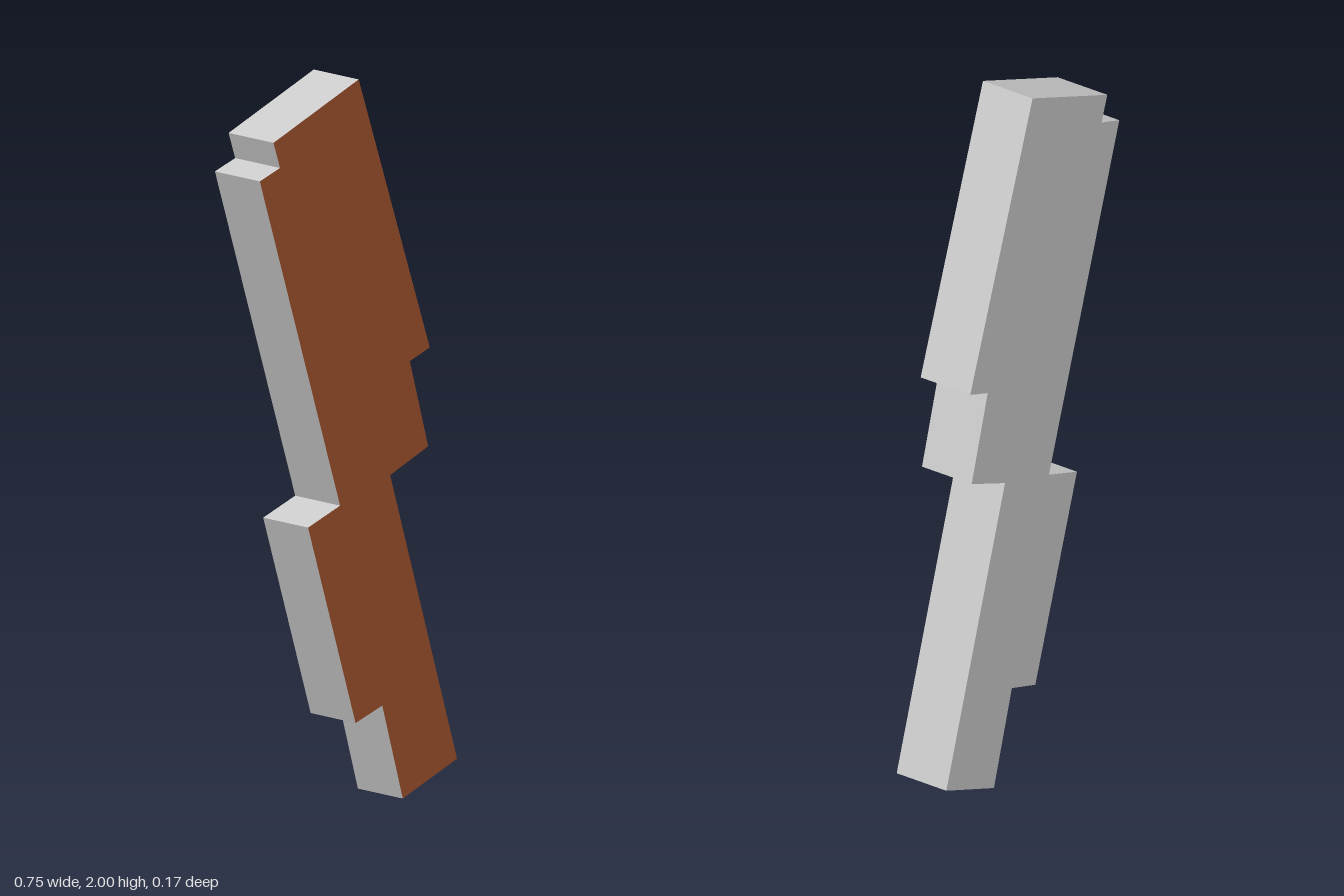
import * as THREE from 'three';

const DEPTH = 0.168;

// Stepped outline of the leaning slab, counter-clockwise from its top corner
const OUTLINE = [
  [0, 2], [-0.325, 1.88], [-0.3, 1.807], [-0.377, 1.783],
  [-0.071, 0.843], [-0.193, 0.803], [-0.012, 0.237], [0.09, 0.268],
  [0.168, 0], [0.375, 0.075], [0.12, 0.895], [0.265, 0.95],
  [0.195, 1.195], [0.271, 1.22],
];

export function createModel() {
  const group = new THREE.Group();
  group.name = 'steppedSlab';

  const grey = new THREE.MeshStandardMaterial({ color: 0xcccccc });
  const brown = new THREE.MeshStandardMaterial({ color: 0xa0522d });

  const shape = new THREE.Shape(OUTLINE.map(([x, y]) => new THREE.Vector2(x, y)));
  const geometry = new THREE.ExtrudeGeometry(shape, { depth: DEPTH, bevelEnabled: false });
  geometry.translate(0, 0, -DEPTH / 2);

  // Back cap and edges grey, front cap brown
  const capCount = geometry.groups[0].count / 2;
  const sideCount = geometry.groups[1].count;
  geometry.clearGroups();
  geometry.addGroup(0, capCount, 0);
  geometry.addGroup(capCount, capCount, 1);
  geometry.addGroup(capCount * 2, sideCount, 0);

  const slab = new THREE.Mesh(geometry, [grey, brown]);
  slab.name = 'slab';
  group.add(slab);
  return group;
}
